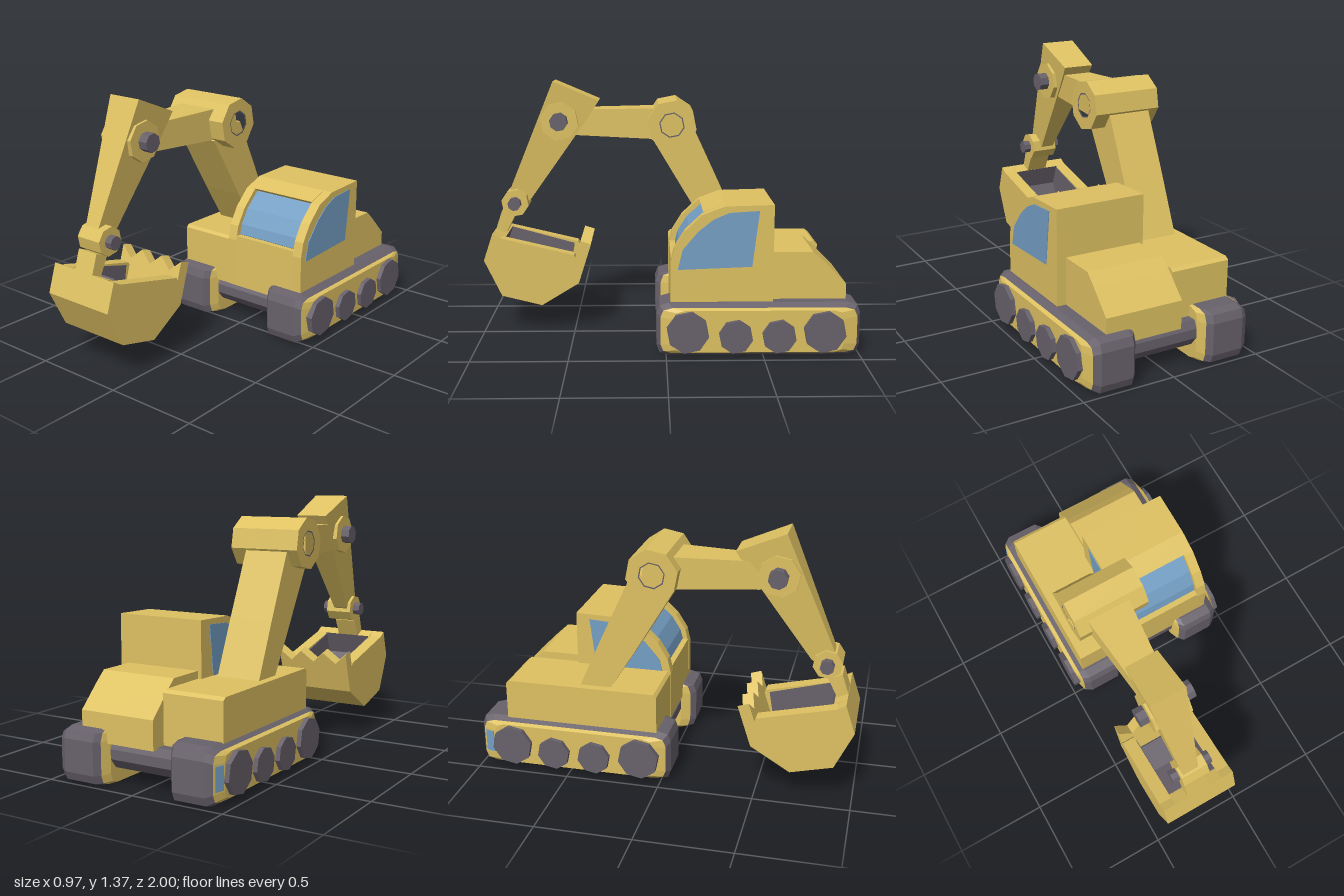
import * as THREE from 'three';

const yellow = new THREE.MeshStandardMaterial({ color: 0xdec162 });
yellow.name = 'yellow paint';
const dark = new THREE.MeshStandardMaterial({ color: 0x68616b });
dark.name = 'dark rubber';
const blue = new THREE.MeshStandardMaterial({ color: 0x749fc4 });
blue.name = 'blue glass';

// Side outline of [z, y] points, extruded from x0 to x1
function prism(name, pts, x0, x1, mat, hole) {
  const toShape = (p) => p.map(([z, y]) => new THREE.Vector2(-z, y));
  const shape = new THREE.Shape(toShape(pts));
  if (hole) shape.holes.push(new THREE.Path(toShape(hole)));
  const geo = new THREE.ExtrudeGeometry(shape, { depth: x1 - x0, bevelEnabled: false });
  geo.rotateY(Math.PI / 2).translate(x0, 0, 0);
  const mesh = new THREE.Mesh(geo, mat);
  mesh.name = name;
  return mesh;
}

// Regular polygon in the side plane
function ngon(z, y, r, n = 8, turn = 0.2) {
  return Array.from({ length: n }, (_, i) => {
    const a = turn + (i / n) * Math.PI * 2;
    return [z + r * Math.cos(a), y + r * Math.sin(a)];
  });
}

// Narrow a mesh about x = cx by a rule of (y, z)
function taper(mesh, cx, scale) {
  const p = mesh.geometry.attributes.position;
  for (let i = 0; i < p.count; i++) p.setX(i, cx + (p.getX(i) - cx) * scale(p.getY(i), p.getZ(i)));
  mesh.geometry.computeVertexNormals();
  return mesh;
}

// Rounded track outline at one x, inset at the ends and at top and bottom
function trackRing([x, zi, yi]) {
  const q = [[1, 0.6], [0.97, 0.9], [0.88, 1]];
  const r = q.map((p) => [...p]).reverse();
  const loop = [
    ...q, ...r.map(([a, b]) => [-a, b]),
    ...q.map(([a, b]) => [-a, -b]), ...r.map(([a, b]) => [a, -b]),
  ];
  return loop.map(([a, b]) => new THREE.Vector3(x, 0.14 + b * (0.14 - yi), -0.475 - a * (0.525 - zi)));
}

// Track: dark belt between yellow side panels
function track(name, side) {
  let sections = [[0.185, 0.08, 0.004], [0.205, 0.03, 0], [0.23, 0, 0], [0.405, 0, 0], [0.44, 0.02, 0.02], [0.46, 0.09, 0.03]];
  let bands = [0, 1, 1, 1, 0];
  if (side < 0) {
    sections = sections.map(([x, a, b]) => [-x, a, b]).reverse();
    bands = bands.reverse();
  }
  const rings = sections.map(trackRing);
  const n = rings[0].length;
  const pts = [];
  const geo = new THREE.BufferGeometry();
  const last = rings[rings.length - 1];
  const group = (mat, fill) => {
    const start = pts.length;
    for (let i = 0; i < n; i++) fill(i, (i + 1) % n);
    geo.addGroup(start, pts.length - start, mat);
  };
  bands.forEach((mat, k) => {
    const A = rings[k], B = rings[k + 1];
    group(mat, (i, j) => pts.push(A[i], A[j], B[j], A[i], B[j], B[i]));
  });
  const mid = (x) => new THREE.Vector3(x, 0.14, -0.475);
  group(0, (i, j) => pts.push(mid(last[0].x), last[i], last[j]));
  group(0, (i, j) => pts.push(mid(rings[0][0].x), rings[0][j], rings[0][i]));
  geo.setFromPoints(pts);
  geo.computeVertexNormals();
  const mesh = new THREE.Mesh(geo, [yellow, dark]);
  mesh.name = name;
  return mesh;
}

export function createModel() {
  const model = new THREE.Group();
  model.name = 'excavator';
  const add = (...m) => model.add(...m);

  // Tracks and wheels
  for (const s of [1, -1]) {
    const label = s > 0 ? 'left' : 'right';
    add(track(label + 'Track', s));
    [[-0.11, 0.14, 0.11], [-0.355, 0.117, 0.088], [-0.577, 0.117, 0.088], [-0.81, 0.14, 0.11]].forEach(([z, y, r], i) => {
      const wheel = prism(label + 'Wheel' + (i + 1), ngon(z, y, r), s > 0 ? 0.43 : -0.485, s > 0 ? 0.485 : -0.43, dark);
      add(wheel);
    });
  }
  const marker = new THREE.Mesh(new THREE.BoxGeometry(0.006, 0.12, 0.05), blue);
  marker.name = 'rearMarker';
  marker.position.set(-0.451, 0.14, -0.945);
  marker.rotation.y = Math.atan2(-0.02, 0.07);
  add(marker);
  add(prism('undercarriage', [[-0.03, 0.13], [-0.03, 0.18], [-0.06, 0.22], [-0.9, 0.22], [-0.92, 0.18],
    [-0.92, 0.13], [-0.88, 0.08], [-0.07, 0.08]], -0.2, 0.2, dark));

  // Body: engine housing and arm deck
  add(prism('engineHousing', [[-0.5, 0.21], [-0.5, 0.53], [-0.76, 0.53], [-0.82, 0.475], [-0.935, 0.36], [-0.935, 0.21]], -0.08, 0.345, yellow));
  add(prism('armDeck', [[-0.025, 0.21], [-0.025, 0.475], [-0.04, 0.49], [-0.83, 0.49], [-0.85, 0.475], [-0.85, 0.21]], -0.415, -0.08, yellow));

  // Cab: two full side frames and a centre with a recessed windscreen
  const front = [[-0.022, 0.48], [-0.04, 0.56], [-0.095, 0.65], [-0.185, 0.735], [-0.3, 0.778]];
  const base = [[-0.55, 0.785], [-0.55, 0.21], [-0.022, 0.21]];
  add(prism('cabLeftFrame', [...front, ...base], 0.34, 0.395, yellow));
  add(prism('cabRightFrame', [...front, ...base], -0.1, -0.045, yellow));
  const glass = [[-0.06, 0.505], [-0.075, 0.56], [-0.125, 0.64], [-0.215, 0.72]];
  add(prism('cabCentre', [[-0.025, 0.505], ...glass, [-0.19, 0.74], [-0.3, 0.778], ...base], -0.045, 0.34, yellow));
  const inner = glass.map(([z, y]) => [z - 0.004, y - 0.004]).reverse();
  add(prism('windscreen', [...glass.map(([z, y]) => [z + 0.004, y + 0.003]), ...inner], -0.045, 0.34, blue));
  const sideGlass = [[-0.475, 0.755], [-0.44, 0.465], [-0.06, 0.45], [-0.085, 0.555], [-0.165, 0.65], [-0.24, 0.71], [-0.32, 0.745]];
  add(prism('leftWindow', sideGlass, 0.393, 0.399, blue));
  add(prism('rightWindow', sideGlass, -0.104, -0.098, blue));

  // Boom with a hollow shoulder joint
  const cx = -0.24;
  add(prism('boom', [[-0.3, 0.46], [-0.15, 0.7], [0.06, 1.05], [-0.04, 1.12], [-0.16, 1.12], [-0.32, 0.775], [-0.46, 0.46]], -0.37, -0.13, yellow));
  const shoulder = [-0.04, 1.143];
  add(prism('shoulderJoint', ngon(...shoulder, 0.136), -0.43, -0.045, yellow, ngon(...shoulder, 0.07)));
  add(prism('shoulderLining', ngon(...shoulder, 0.071), -0.428, -0.047, dark, ngon(...shoulder, 0.063)));
  add(prism('shoulderCore', ngon(...shoulder, 0.066), -0.37, -0.11, yellow));

  // Upper arm, narrowing to the elbow
  add(taper(prism('upperArm', [[0.05, 1.225], [0.4, 1.22], [0.6, 1.21], [0.58, 1.09], [0.48, 1.075], [0.05, 1.057]],
    -0.365, -0.135, yellow), cx, (y, z) => 1 - 0.85 * Math.max(0, z - 0.05)));

  // Forearm, narrowing to the wrist
  add(taper(prism('forearm', [[0.61, 1.372], [0.36, 1.267], [0.39, 1.22], [0.45, 1.13], [0.75, 0.71], [0.83, 0.66], [0.87, 0.75]],
    -0.338, -0.142, yellow), cx, (y) => 1 - 0.9 * Math.max(0, 1.37 - y)));

  // Elbow and wrist joints with pins
  add(prism('elbowJoint', ngon(0.578, 1.155, 0.107), -0.342, -0.138, yellow));
  add(prism('elbowPin', ngon(0.578, 1.155, 0.05), -0.39, -0.085, dark));
  add(prism('wristJoint', ngon(0.833, 0.697, 0.077), -0.3, -0.15, yellow));
  add(prism('wristPin', ngon(0.833, 0.697, 0.037), -0.34, -0.11, dark));
  add(prism('bucketLink', [[0.91, 0.65], [0.84, 0.62], [0.89, 0.52], [0.95, 0.53]], -0.295, -0.17, yellow));

  // Bucket: side walls, curved shell and dark lining
  const bx0 = -0.44, bx1 = -0.02;
  const outer = [[0.945, 0.55], [0.995, 0.4], [0.9, 0.2], [0.68, 0.145], [0.475, 0.27]];
  const cavity = [[0.88, 0.52], [0.925, 0.4], [0.855, 0.265], [0.68, 0.22], [0.54, 0.3]];
  const sideWall = [...outer, [0.455, 0.34], [0.5, 0.43], [0.9, 0.525]];
  add(prism('bucketRightWall', sideWall, bx0, bx0 + 0.07, yellow));
  add(prism('bucketLeftWall', sideWall, bx1 - 0.07, bx1, yellow));
  add(prism('bucketShell', [...outer, ...[...cavity].reverse()], bx0 + 0.07, bx1 - 0.07, yellow));
  const lining = cavity.map(([z, y]) => [0.72 + (z - 0.72) * 0.96, y + 0.008]);
  add(prism('bucketLining', [...cavity, ...lining.reverse()], bx0 + 0.07, bx1 - 0.07, dark));
  const liner = [...cavity, [0.52, 0.42]];
  add(prism('bucketRightLining', liner, bx0 + 0.068, bx0 + 0.075, dark));
  add(prism('bucketLeftLining', liner, bx1 - 0.075, bx1 - 0.068, dark));

  // Toothed bucket lip, leaning forward from the shell
  const lip = new THREE.Shape();
  const w = bx1 - bx0, teeth = 3;
  lip.moveTo(0, 0).lineTo(w, 0);
  for (let i = teeth * 2; i >= 0; i--) lip.lineTo((w * i) / (teeth * 2), i % 2 ? 0.17 : 0.231);
  const lipMesh = new THREE.Mesh(new THREE.ExtrudeGeometry(lip, { depth: 0.06, bevelEnabled: false }), yellow);
  lipMesh.name = 'bucketTeeth';
  lipMesh.position.set(bx0, 0.27, 0.475);
  lipMesh.rotation.x = -Math.atan2(0.07, 0.22);
  add(lipMesh);

  return model;
}
